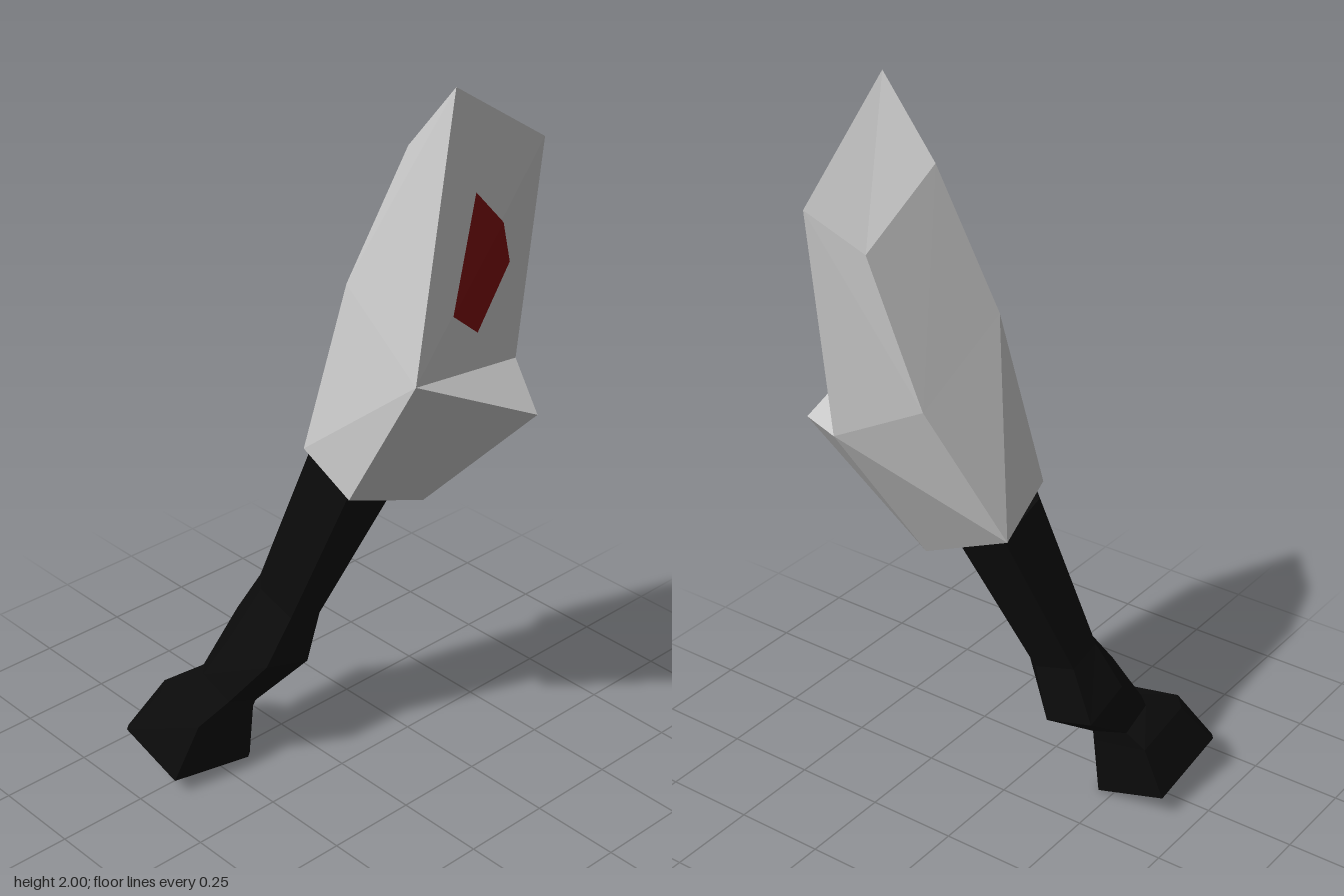
import * as THREE from 'three';

const shellGrey = new THREE.MeshStandardMaterial({ color: 0xcccccc });
shellGrey.name = 'shellGrey';
const limbBlack = new THREE.MeshStandardMaterial({ color: 0x0b0b0b });
limbBlack.name = 'limbBlack';
const patchRed = new THREE.MeshStandardMaterial({ color: 0x800e0e });
patchRed.name = 'patchRed';

// Flat-faced mesh from corner loops, fanned into triangles
function faceted(name, loops, material, centre) {
  const pos = [];
  for (const loop of loops) {
    const p = loop.map((c) => new THREE.Vector3(...c));
    for (let i = 1; i < p.length - 1; i++) {
      const tri = [p[0], p[i], p[i + 1]];
      if (centre) {
        // turn the triangle to face away from the centre
        const n = new THREE.Triangle(...tri).getNormal(new THREE.Vector3());
        if (n.dot(p[0].clone().sub(centre)) < 0) tri.reverse();
      }
      tri.forEach((v) => pos.push(v.x, v.y, v.z));
    }
  }
  const g = new THREE.BufferGeometry();
  g.setAttribute('position', new THREE.Float32BufferAttribute(pos, 3));
  g.computeVertexNormals();
  const mesh = new THREE.Mesh(g, material);
  mesh.name = name;
  return mesh;
}

// Armoured shell: named corners, front (F) and back (B) chains from tip to cuff
function buildShell() {
  const v = {
    tipF: [0.31, 2.0, -0.06], tipB: [0.255, 1.777, -0.425],
    highF: [0.14, 1.81, -0.08], highB: [0.137, 1.67, -0.35],
    midF: [0.005, 1.435, -0.01], midB: [0.005, 1.29, -0.317],
    cuffF: [-0.083, 0.97, 0.055], cuffB: [-0.14, 0.92, -0.178],
    ledgeF: [0.37, 1.33, 0.11], ledgeB: [0.225, 1.19, -0.386],
    spur: [0.41, 1.14, -0.27],
    innerF: [0.112, 0.91, 0.08], innerB: [0.112, 0.81, -0.18],
  };
  const faces = [
    'midF ledgeF tipF highF', 'cuffF innerF ledgeF midF',
    'tipF tipB highB highF', 'highF highB midB midF', 'midF midB cuffB cuffF',
    'tipB ledgeB midB highB', 'ledgeB innerB cuffB midB',
    'tipF ledgeF tipB', 'ledgeF ledgeB tipB',
    'ledgeF spur ledgeB', 'ledgeF innerF innerB spur', 'spur innerB ledgeB',
    'cuffF cuffB innerB innerF',
  ].map((f) => f.split(' ').map((k) => v[k]));
  return faceted('shell', faces, shellGrey, new THREE.Vector3(0.1, 1.15, -0.1));
}

// Red marking folded over the ridge of the shell's side
function buildPatch() {
  const o = 0.004;
  const a = [0.338 + o, 1.454, -0.037], b = [0.295 + o, 1.62, -0.243];
  const top = [0.309 + o, 1.73, -0.132];
  const back = [0.271 + o, 1.496, -0.296], low = [0.297 + o, 1.358, -0.164];
  return faceted('redPatch', [[a, b, top], [a, low, back, b]], patchRed,
    new THREE.Vector3(0.1, 1.5, -0.15));
}

// Limb cross-section: tilted rectangle with two opposite corners cut off
function ring([cx, cy, cz, hx, hz, sx, sz, cut]) {
  const k = 1 - 2 * cut;
  return [[1, 1], [1, -k], [k, -1], [-1, -1], [-1, k], [-k, 1]].map(([u, w]) =>
    [cx + u * hx, cy + u * hx * sx + w * hz * sz, cz + w * hz]);
}

function loft(name, sections) {
  const rings = sections.map(ring);
  const loops = [[...rings[0]].reverse(), rings[rings.length - 1]];
  for (let r = 0; r < rings.length - 1; r++) {
    const a = rings[r], b = rings[r + 1];
    a.forEach((p, i) => {
      const j = (i + 1) % a.length;
      loops.push([p, a[j], b[j], b[i]]);
    });
  }
  return faceted(name, loops, limbBlack);
}

export function createModel() {
  const group = new THREE.Group();
  group.name = 'armouredLimb';
  group.add(buildShell(), buildPatch());

  // Each section: centre x, y, z, half width, half depth, slope in x, slope in z, corner cut
  const ankle = [-0.235, 0.245, 0.195, 0.07, 0.062, -0.35, 0.4, 0.25];
  group.add(loft('foot', [
    [-0.305, 0.06, 0.287, 0.108, 0.136, -0.3, 0.19, 0.06],
    [-0.263, 0.212, 0.25, 0.098, 0.112, -0.2, 0.2, 0.2],
    ankle,
  ]));
  group.add(loft('upperLimb', [
    ankle,
    [-0.19, 0.37, 0.08, 0.115, 0.119, -0.28, 0.3, 0.4],
    [-0.155, 0.5, 0.045, 0.085, 0.072, -0.3, 0.25, 0.3],
    [-0.015, 0.91, -0.055, 0.098, 0.1, -0.3, 0.33, 0.25],
  ]));
  return group;
}
